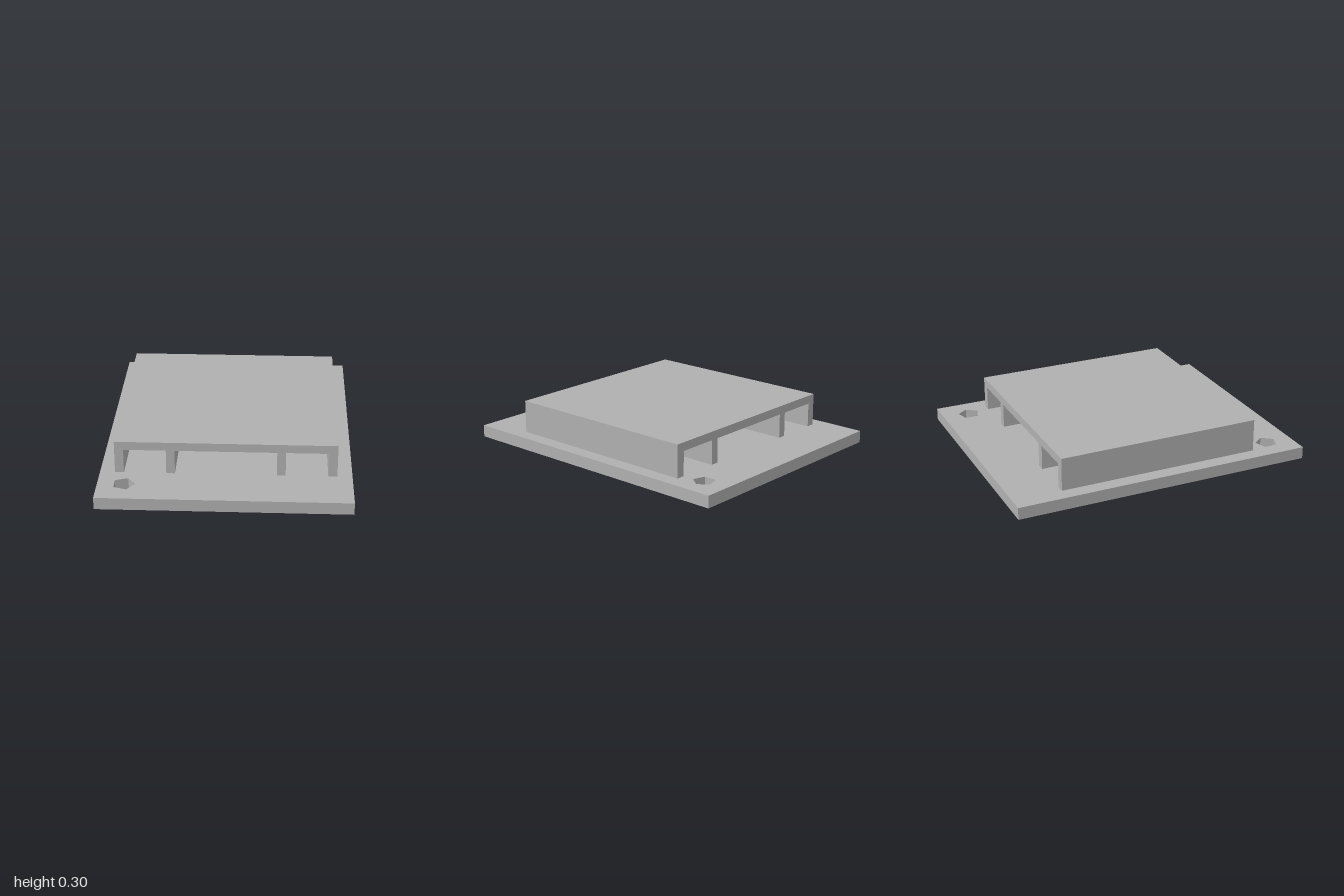
import * as THREE from 'three';

const polygon = (pts) => new THREE.Shape(pts.map(([x, y]) => new THREE.Vector2(x, y)));

// Pentagonal screw hole with one corner towards +x
function pentagonHole(cx, cy, r) {
  const hole = new THREE.Path();
  for (let i = 0; i < 5; i++) {
    const a = -i * Math.PI * 2 / 5;
    const x = cx + r * Math.cos(a), y = cy + r * Math.sin(a);
    if (i === 0) hole.moveTo(x, y); else hole.lineTo(x, y);
  }
  hole.closePath();
  return hole;
}

export function createModel() {
  const grey = new THREE.MeshStandardMaterial({ color: 0xb0b0b0 });
  grey.name = 'plain grey';
  const group = new THREE.Group();
  const baseTop = 0.08;

  // Base plate with two corner holes and a round central hole
  const plate = polygon([[-0.8, -1], [0.8, -1], [0.8, 1], [-0.8, 1]]);
  plate.holes.push(pentagonHole(0.628, 0.822, 0.073), pentagonHole(-0.633, -0.82, 0.073));
  const round = new THREE.Path();
  round.absarc(0, 0, 0.245, 0, Math.PI * 2, true);
  plate.holes.push(round);
  const plateGeo = new THREE.ExtrudeGeometry(plate, { depth: baseTop, bevelEnabled: false, curveSegments: 24 });
  plateGeo.rotateX(-Math.PI / 2);
  const base = new THREE.Mesh(plateGeo, grey);
  base.name = 'basePlate';
  group.add(base);

  // Roof and its four rails as one comb profile, run along z
  const under = 0.242, top = 0.298;
  const rails = [[-0.704, -0.647], [-0.378, -0.323], [0.323, 0.378], [0.647, 0.704]];
  const profile = [[0.704, top], [-0.704, top]];
  rails.forEach(([a, b], i) => {
    if (i > 0) profile.push([a, under]);
    profile.push([a, baseTop], [b, baseTop]);
    if (i < rails.length - 1) profile.push([b, under]);
  });
  const depth = 1.352;
  const coverGeo = new THREE.ExtrudeGeometry(polygon(profile), { depth, bevelEnabled: false });
  coverGeo.translate(0, 0, -depth / 2);
  const cover = new THREE.Mesh(coverGeo, grey);
  cover.name = 'railedCover';
  group.add(cover);

  return group;
}
